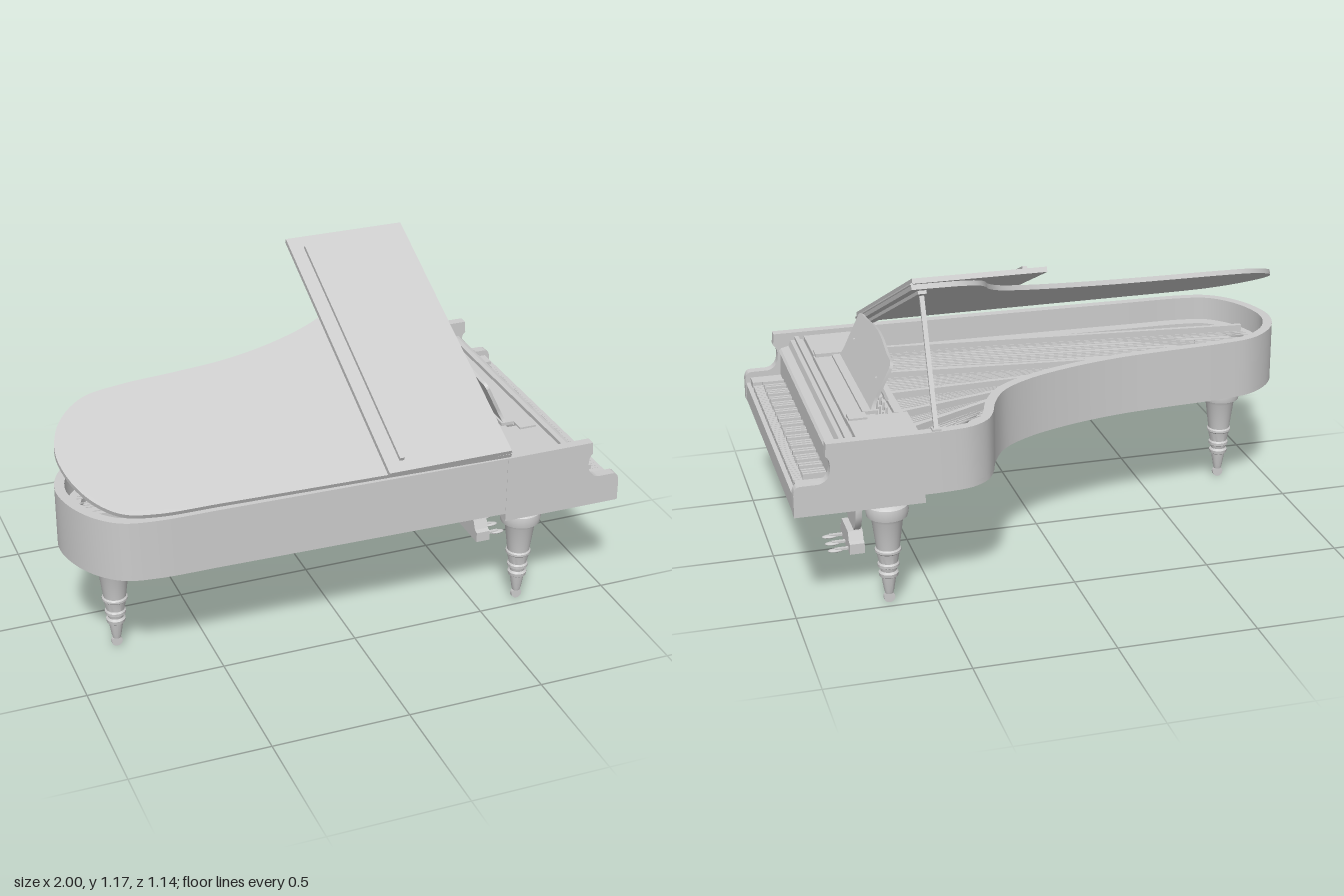
import * as THREE from 'three';
import { toCreasedNormals } from 'three/addons/utils/BufferGeometryUtils.js';

const mat = new THREE.MeshStandardMaterial({ color: 0xcccccc, side: THREE.DoubleSide });
const V = (x, y, z) => new THREE.Vector3(x, y, z);

function add(parent, name, geo) {
  const m = new THREE.Mesh(geo, mat);
  m.name = name;
  parent.add(m);
  return m;
}

// Box given by its limits on each axis
function box(parent, name, x0, x1, y0, y1, z0, z1) {
  const m = add(parent, name, new THREE.BoxGeometry(x1 - x0, y1 - y0, z1 - z0));
  m.position.set((x0 + x1) / 2, (y0 + y1) / 2, (z0 + z1) / 2);
  return m;
}

// Straight bar between two points
function bar(parent, name, a, b, w, h) {
  const m = add(parent, name, new THREE.BoxGeometry(w, h, a.distanceTo(b)));
  m.position.copy(a).lerp(b, 0.5);
  m.lookAt(b);
  return m;
}

const extrude = (shape, depth) =>
  toCreasedNormals(new THREE.ExtrudeGeometry(shape, { depth, bevelEnabled: false, curveSegments: 12 }), 0.5);

// Plan outline (x, z) raised from y0 to y1
function plan(pts, y0, y1) {
  const s = new THREE.Shape(pts.map(p => new THREE.Vector2(p.x, -p.z)));
  return extrude(s, y1 - y0).rotateX(-Math.PI / 2).translate(0, y0, 0);
}

// Side profile (x, y) running from z0 to z1
const side = (shape, z0, z1) => extrude(shape, z1 - z0).translate(0, 0, z0);

// Case outline: cheek, bent side, tail, spine
const curve = new THREE.CatmullRomCurve3([
  [0.56, -0.565], [0.47, -0.562], [0.38, -0.548], [0.315, -0.505], [0.282, -0.45], [0.25, -0.36],
  [0.19, -0.26], [0.08, -0.18], [-0.1, -0.11], [-0.3, -0.065], [-0.5, -0.045], [-0.7, -0.03],
  [-0.85, 0.0], [-0.955, 0.09], [-1, 0.21], [-0.985, 0.33], [-0.93, 0.44], [-0.85, 0.51],
  [-0.74, 0.535], [-0.5, 0.541], [0, 0.551], [0.56, 0.562],
].map(([x, z]) => V(x, 0, z)));
const N = 160;
const outline = curve.getSpacedPoints(N);
const inset = d => outline.map((p, i) => {
  const t = curve.getTangentAt(i / N);
  return V(p.x + t.z * d, 0, p.z - t.x * d);
});
const band = (d0, d1) => [...inset(d0), ...inset(d1).reverse()];

function buildCase(g) {
  add(g, 'rim', plan(band(0, 0.035), 0.44, 0.665));
  add(g, 'bottomBoard', plan(outline, 0.44, 0.46));
  add(g, 'soundboard', plan(inset(0.02), 0.53, 0.545));
  add(g, 'plateEdge', plan(band(0.03, 0.085), 0.545, 0.575));
  box(g, 'keybed', 0.55, 0.985, 0.41, 0.465, -0.562, 0.562);
  box(g, 'keySlip', 0.982, 0.998, 0.41, 0.48, -0.562, 0.562);

  // Arms with a scooped front end
  const s = new THREE.Shape();
  s.moveTo(0.55, 0.41);
  s.lineTo(1, 0.41);
  s.lineTo(1, 0.49);
  s.quadraticCurveTo(0.997, 0.522, 0.975, 0.522);
  s.lineTo(0.915, 0.522);
  s.quadraticCurveTo(0.875, 0.53, 0.873, 0.575);
  s.quadraticCurveTo(0.872, 0.61, 0.888, 0.62);
  s.lineTo(0.885, 0.665);
  s.lineTo(0.55, 0.665);
  add(g, 'leftArm', side(s, 0.527, 0.563));
  add(g, 'rightArm', side(s, -0.566, -0.53));
}

function buildInterior(g) {
  // Pin block, tuning pins, fanned strings and plate struts
  box(g, 'pinBlock', 0.55, 0.72, 0.465, 0.585, -0.53, 0.53);
  const ends = inset(0.07);
  const fan = (t, y) => {
    const e = ends[Math.round((0.13 + 0.43 * t) * N)];
    return [V(0.58, y, -0.44 + 0.92 * t), V(e.x, y, e.z)];
  };
  for (let i = 0; i <= 54; i++) {
    const [a, b] = fan(i / 54, 0.582);
    bar(g, 'string', a, b, 0.003, 0.003);
    const pin = add(g, 'tuningPin', new THREE.CylinderGeometry(0.004, 0.004, 0.03, 6));
    pin.position.set(0.6 + 0.02 * (i % 3), 0.6, a.z);
  }
  for (const t of [0.08, 0.25, 0.45, 0.68, 0.97]) {
    const [a, b] = fan(t, 0.59);
    bar(g, 'plateStrut', a, b, 0.018, 0.03);
  }
  const bridge = new THREE.CatmullRomCurve3([
    V(0.42, 0.557, -0.36), V(0.3, 0.557, -0.2), V(0.05, 0.557, -0.03), V(-0.35, 0.557, 0.08), V(-0.7, 0.557, 0.2)]);
  add(g, 'bridge', new THREE.TubeGeometry(bridge, 30, 0.015, 6));
  bar(g, 'bassBridge', V(-0.72, 0.557, 0.28), V(-0.4, 0.557, 0.46), 0.025, 0.025);
  box(g, 'plateCrossBar', 0.55, 0.575, 0.575, 0.61, -0.53, 0.53);
}

function buildKeyboard(g) {
  const w = 0.936 / 52;
  for (let i = 0; i < 52; i++) {
    const z = 0.468 - w * i;
    box(g, 'whiteKey', 0.86, 0.978, 0.465, 0.488, z - w + 0.001, z - 0.001);
    const letter = (i + 5) % 7;
    if (i < 51 && letter !== 2 && letter !== 6)
      box(g, 'blackKey', 0.86, 0.945, 0.48, 0.508, z - w - 0.005, z - w + 0.005);
  }
  for (const s of [-1, 1])
    box(g, 'keyBlock', 0.86, 0.98, 0.465, 0.5, s * 0.5 - 0.031, s * 0.5 + 0.031);

  // Fallboard behind the keys
  const f = new THREE.Shape();
  [[0.775, 0.465], [0.866, 0.465], [0.862, 0.59], [0.868, 0.598], [0.86, 0.606], [0.83, 0.614],
    [0.822, 0.636], [0.775, 0.636]].forEach(([x, y], i) => i ? f.lineTo(x, y) : f.moveTo(x, y));
  add(g, 'fallboard', side(f, -0.53, 0.53));
  box(g, 'fallboardRail', 0.79, 0.806, 0.636, 0.65, -0.53, 0.53);
}

function buildMusicDesk(g) {
  for (const s of [-1, 1]) {
    box(g, 'sideShelf', 0.555, 0.77, 0.63, 0.648, s * 0.425 - 0.108, s * 0.425 + 0.108);
    box(g, 'shelfRunner', 0.58, 0.77, 0.585, 0.63, s * 0.325 - 0.008, s * 0.325 + 0.008);
    box(g, 'deskSlide', 0.7, 0.765, 0.635, 0.655, s * 0.325 - 0.025, s * 0.325 + 0.025);
    bar(g, 'deskStay', V(0.6, 0.65, s * 0.2), V(0.635, 0.74, s * 0.2), 0.01, 0.01);
  }
  box(g, 'deskTray', 0.7, 0.77, 0.62, 0.642, -0.32, 0.32);
  box(g, 'deskRail', 0.585, 0.6, 0.635, 0.65, -0.32, 0.32);
  box(g, 'deskLedge', 0.655, 0.705, 0.64, 0.652, -0.29, 0.29);

  // Leaning desk panel with a bowed top
  const s = new THREE.Shape();
  s.moveTo(-0.285, 0);
  s.lineTo(0.285, 0);
  s.quadraticCurveTo(0.27, 0.03, 0.275, 0.06);
  s.lineTo(0.278, 0.16);
  s.quadraticCurveTo(0.275, 0.182, 0.24, 0.182);
  s.bezierCurveTo(0.13, 0.186, 0.12, 0.202, 0, 0.204);
  s.bezierCurveTo(-0.12, 0.202, -0.13, 0.186, -0.24, 0.182);
  s.quadraticCurveTo(-0.275, 0.182, -0.278, 0.16);
  s.lineTo(-0.275, 0.06);
  s.quadraticCurveTo(-0.27, 0.03, -0.285, 0);
  const desk = add(g, 'musicDesk', extrude(s, 0.012).rotateY(Math.PI / 2));
  desk.position.set(0.665, 0.648, 0);
  desk.rotation.z = 0.45;
}

function buildLid(g) {
  // Raised lid hinged on the spine, its front flap folded back on top
  const lid = new THREE.Group();
  lid.name = 'lid';
  lid.position.set(0, 0.67, 0.562);
  lid.rotation.x = THREE.MathUtils.degToRad(24.6);
  g.add(lid);
  add(lid, 'mainLid', plan(outline, 0, 0.018).translate(0, 0, -0.562));
  box(lid, 'frontFlap', 0.09, 0.555, 0.02, 0.038, -1.127, 0);
  box(lid, 'flapStrip', 0.143, 0.16, 0.038, 0.052, -1.07, -0.045);
  const hinge = add(lid, 'flapHinge', new THREE.CylinderGeometry(0.005, 0.005, 1.12, 8));
  hinge.rotation.x = Math.PI / 2;
  hinge.position.set(0.557, 0.019, -0.563);
  box(lid, 'lidBatten', 0.5, 0.53, -0.012, 0, -1.08, -0.05);

  bar(g, 'propStick', V(0.505, 0.655, -0.552), V(0.505, 1.085, -0.362), 0.016, 0.012);
  box(g, 'propBracket', 0.49, 0.52, 0.655, 0.672, -0.56, -0.53);
}

function buildLeg(g, name, x, z, top) {
  const pts = [[0, 0.035], [0.014, 0.035], [0.018, 0.05], [0.026, 0.1], [0.033, 0.105], [0.035, 0.118],
    [0.028, 0.125], [0.031, 0.138], [0.038, 0.142], [0.038, 0.152], [0.033, 0.158], [0.041, 0.195],
    [0.046, 0.2], [0.046, 0.208], [0.041, 0.213], [0.055, 0.32], [0.06, 0.332], [0.072, 0.337],
    [0.076, 0.36], [0.073, 0.378], [0.06, 0.39], [0.045, 0.394], [0.045, top]];
  const leg = new THREE.Group();
  leg.name = name;
  leg.position.set(x, 0, z);
  g.add(leg);
  const geo = new THREE.LatheGeometry(pts.map(p => new THREE.Vector2(...p)), 24);
  add(leg, 'turnedPost', toCreasedNormals(geo, 0.5));
  const wheel = add(leg, 'caster', new THREE.CylinderGeometry(0.02, 0.02, 0.014, 16));
  wheel.rotation.x = Math.PI / 2;
  wheel.position.y = 0.02;
}

function buildLyre(g) {
  const lyre = new THREE.Group();
  lyre.name = 'pedalLyre';
  lyre.position.set(0.7, 0, -0.015);
  g.add(lyre);

  // U-shaped frame: outer edge down one side and up the other, then the inner edge
  const mirror = a => [...a, ...a.slice().reverse().map(([z, y]) => [-z, y])].map(p => new THREE.Vector2(...p));
  const outer = mirror([[0.078, 0.412], [0.07, 0.38], [0.058, 0.35], [0.062, 0.31], [0.085, 0.27],
    [0.102, 0.22], [0.103, 0.17], [0.085, 0.13], [0.055, 0.1]]);
  const inner = mirror([[0.035, 0.412], [0.04, 0.38], [0.037, 0.34], [0.037, 0.31], [0.053, 0.27],
    [0.063, 0.225], [0.057, 0.19], [0.035, 0.172]]).reverse();
  const frame = new THREE.Shape([...outer, ...inner]);
  add(lyre, 'lyreFrame', extrude(frame, 0.024).translate(0, 0, -0.012).rotateY(Math.PI / 2));
  for (const s of [-1, 1]) {
    const scroll = add(lyre, 'scroll', new THREE.CylinderGeometry(0.014, 0.014, 0.03, 14));
    scroll.rotation.z = Math.PI / 2;
    scroll.position.set(0, 0.352, s * 0.076);
  }
  box(lyre, 'crossBar', -0.008, 0.008, 0.292, 0.306, -0.045, 0.045);
  for (const z of [-0.018, 0, 0.018]) {
    const rod = add(lyre, 'rod', new THREE.CylinderGeometry(0.004, 0.004, 0.25, 8));
    rod.position.set(0, 0.288, z);
  }

  // Pedal box with a tapered plinth, and three pedals
  const foot = new THREE.Shape([[-0.093, 0.02], [0.093, 0.02], [0.093, 0.06], [0.075, 0.065], [0.06, 0.098],
    [-0.06, 0.098], [-0.075, 0.065], [-0.093, 0.06]].map(p => new THREE.Vector2(...p)));
  add(lyre, 'pedalBox', extrude(foot, 0.055).rotateY(Math.PI / 2).translate(-0.02, 0, 0));
  for (const z of [-0.06, 0, 0.06]) {
    bar(lyre, 'pedalShaft', V(0.03, 0.036, z), V(0.085, 0.03, z), 0.014, 0.008);
    const tip = add(lyre, 'pedal', new THREE.SphereGeometry(1, 14, 8));
    tip.scale.set(0.03, 0.006, 0.014);
    tip.position.set(0.082, 0.029, z);
  }
}

export function createModel() {
  const g = new THREE.Group();
  g.name = 'grandPiano';
  buildCase(g);
  buildInterior(g);
  buildKeyboard(g);
  buildMusicDesk(g);
  buildLid(g);
  buildLeg(g, 'leftFrontLeg', 0.665, 0.455, 0.415);
  buildLeg(g, 'rightFrontLeg', 0.665, -0.464, 0.415);
  buildLeg(g, 'tailLeg', -0.815, 0.235, 0.445);
  buildLyre(g);
  return g;
}
